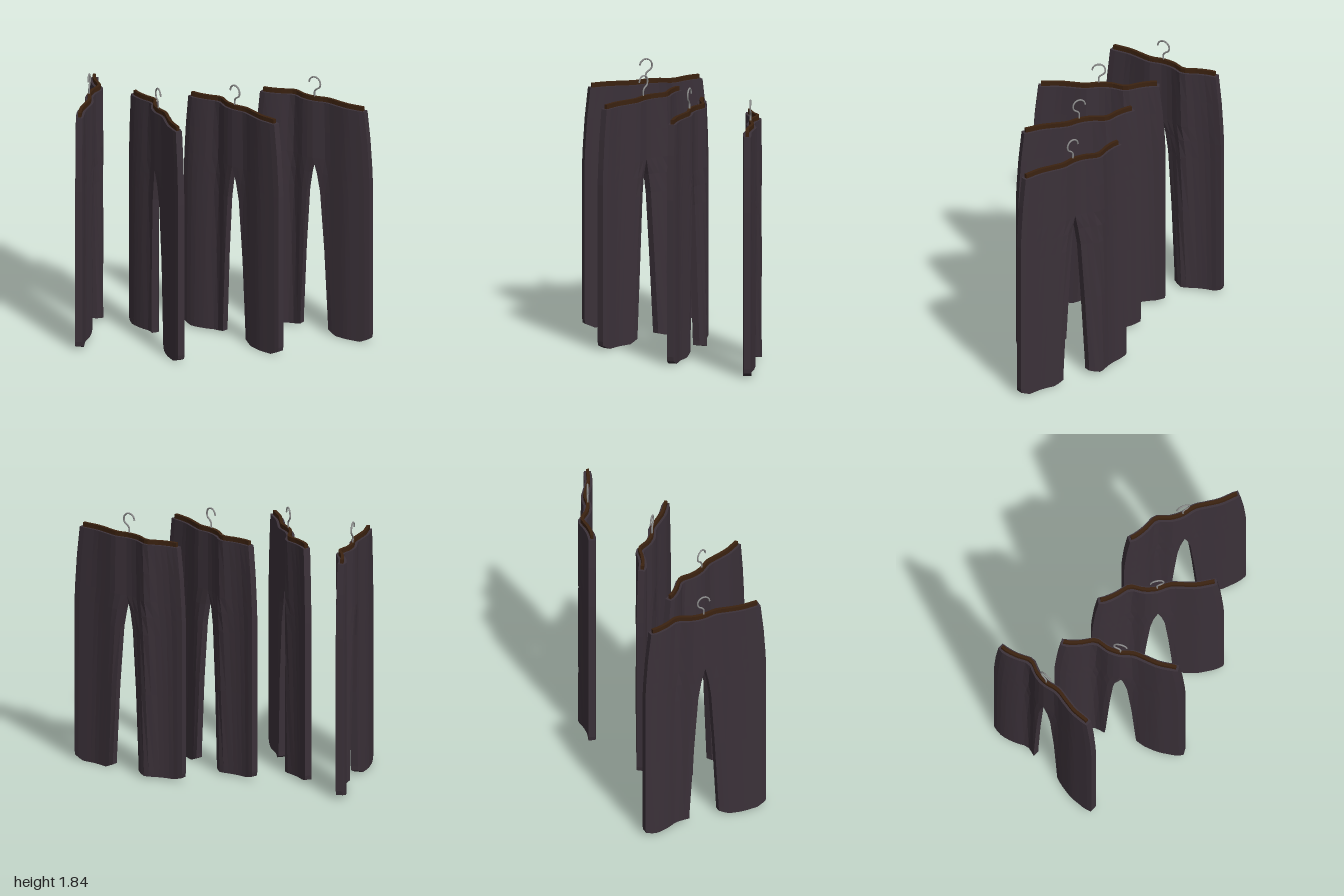
import * as THREE from 'three';

const trouserCloth = new THREE.MeshStandardMaterial({ color: 0x3b3139 });
const darkWood = new THREE.MeshStandardMaterial({ color: 0x3b2210 });
const hookSteel = new THREE.MeshStandardMaterial({ color: 0x8c8c8c });

const HALF = 0.455;

// Folds of the cloth: sideways offset along the width of a garment
const folds = new THREE.SplineCurve(
  [0, -0.002, 0.022, 0.058, 0.022, 0.012, 0.028, 0.012, -0.004, -0.002, 0]
    .map((w, i) => new THREE.Vector2(i / 10, w)));
const fold = (u) => -folds.getPoint(THREE.MathUtils.clamp((u / HALF + 1) / 2, 0, 1)).y;

// Outline of one trouser half: height, inner edge, outer edge
const ROWS = [
  [0.03, 0.11, 0.45], [0.06, 0.11, 0.455], [0.6, 0.08, 0.455], [1.02, 0.05, 0.455],
  [1.15, 0.028, 0.455], [1.26, 0, 0.45], [1.46, 0, 0.436], [1.67, 0, 0.412],
];
const CROTCH_ROW = 5;

function flatGeometry(positions) {
  const g = new THREE.BufferGeometry();
  g.setAttribute('position', new THREE.Float32BufferAttribute(positions, 3));
  g.computeVertexNormals();
  return g;
}

// Lofts rings of front and back points; side is +1 or -1
function trouserHalf(side) {
  const n = 10, pos = [];
  const hemDrop = side > 0 ? 0.03 : 0.018;
  const rings = ROWS.map(([y, inner, outer], j) => {
    const front = [], back = [];
    for (let i = 0; i <= n; i++) {
      const t = i / n;
      const u = side * THREE.MathUtils.lerp(inner, outer, t);
      const drop = j === 0 ? hemDrop * Math.min(1, t / 0.2, (1 - t) / 0.2) : 0;
      const h = i === n || (i === 0 && j < CROTCH_ROW) ? 0.023 : 0.028;
      front.push([u, y - drop, fold(u) + h]);
      back.unshift([u, y - drop, fold(u) - h]);
    }
    return [...front, ...back];
  });
  const quad = (a, b, c, d) => {
    const p = side > 0 ? [a, b, c, a, c, d] : [a, c, b, a, d, c];
    p.forEach((v) => pos.push(...v));
  };
  const m = rings[0].length;
  for (let j = 0; j < rings.length - 1; j++) {
    for (let k = 0; k < m; k++) {
      // No wall between the halves above the crotch
      if (k === m - 1 && j >= CROTCH_ROW) continue;
      const l = (k + 1) % m;
      quad(rings[j][k], rings[j][l], rings[j + 1][l], rings[j + 1][k]);
    }
  }
  // Hem and waist caps
  const low = rings[0], top = rings[rings.length - 1];
  for (let i = 0; i < n; i++) {
    quad(low[i], low[m - 1 - i], low[m - 2 - i], low[i + 1]);
    quad(top[i], top[i + 1], top[m - 2 - i], top[m - 1 - i]);
  }
  return flatGeometry(pos);
}

// Hanger bar bent along the folds
function barGeometry() {
  const g = new THREE.BoxGeometry(0.79, 0.04, 0.022, 24, 1, 1);
  const p = g.attributes.position;
  for (let i = 0; i < p.count; i++) p.setZ(i, p.getZ(i) + fold(p.getX(i)));
  g.translate(0, 1.68, 0);
  const flat = g.toNonIndexed();
  flat.computeVertexNormals();
  return flat;
}

// Question-mark hook, opening towards the given direction
function hookGeometry(open) {
  const pts = [[0, 1.69], [0, 1.735], [-0.012, 1.752]];
  for (let i = 0; i <= 8; i++) {
    const a = -0.65 + (i / 8) * 3.75;
    pts.push([-0.045 * Math.cos(a), 1.794 + 0.045 * Math.sin(a)]);
  }
  const path = new THREE.CatmullRomCurve3(
    pts.map(([u, y]) => new THREE.Vector3(u * open, y, fold(0))));
  return new THREE.TubeGeometry(path, 32, 0.006, 6);
}

export function createModel() {
  const model = new THREE.Group();
  model.name = 'hangingTrousers';

  const leftHalf = trouserHalf(-1), rightHalf = trouserHalf(1), bar = barGeometry();

  // Each garment: centre x, centre z, width direction x and z, hook opening
  const garments = [
    [-0.778, -0.262, -0.39, 0.824, 1],
    [-0.417, 0.16, 0.064, 0.919, 1],
    [0.102, 0.262, 0.417, 0.802, -1],
    [0.674, 0.267, 0.599, 0.674, -1],
  ];
  garments.forEach(([x, z, dx, dz, open], i) => {
    const garment = new THREE.Group();
    garment.name = `trousersOnHanger${i + 1}`;
    const add = (name, geometry, material) => {
      const mesh = new THREE.Mesh(geometry, material);
      mesh.name = name;
      garment.add(mesh);
    };
    add('trouserHalfA', leftHalf, trouserCloth);
    add('trouserHalfB', rightHalf, trouserCloth);
    add('hangerBar', bar, darkWood);
    add('hangerHook', hookGeometry(open), hookSteel);
    garment.position.set(x, 0, z);
    garment.rotation.y = Math.atan2(-dz, dx);
    model.add(garment);
  });
  return model;
}
